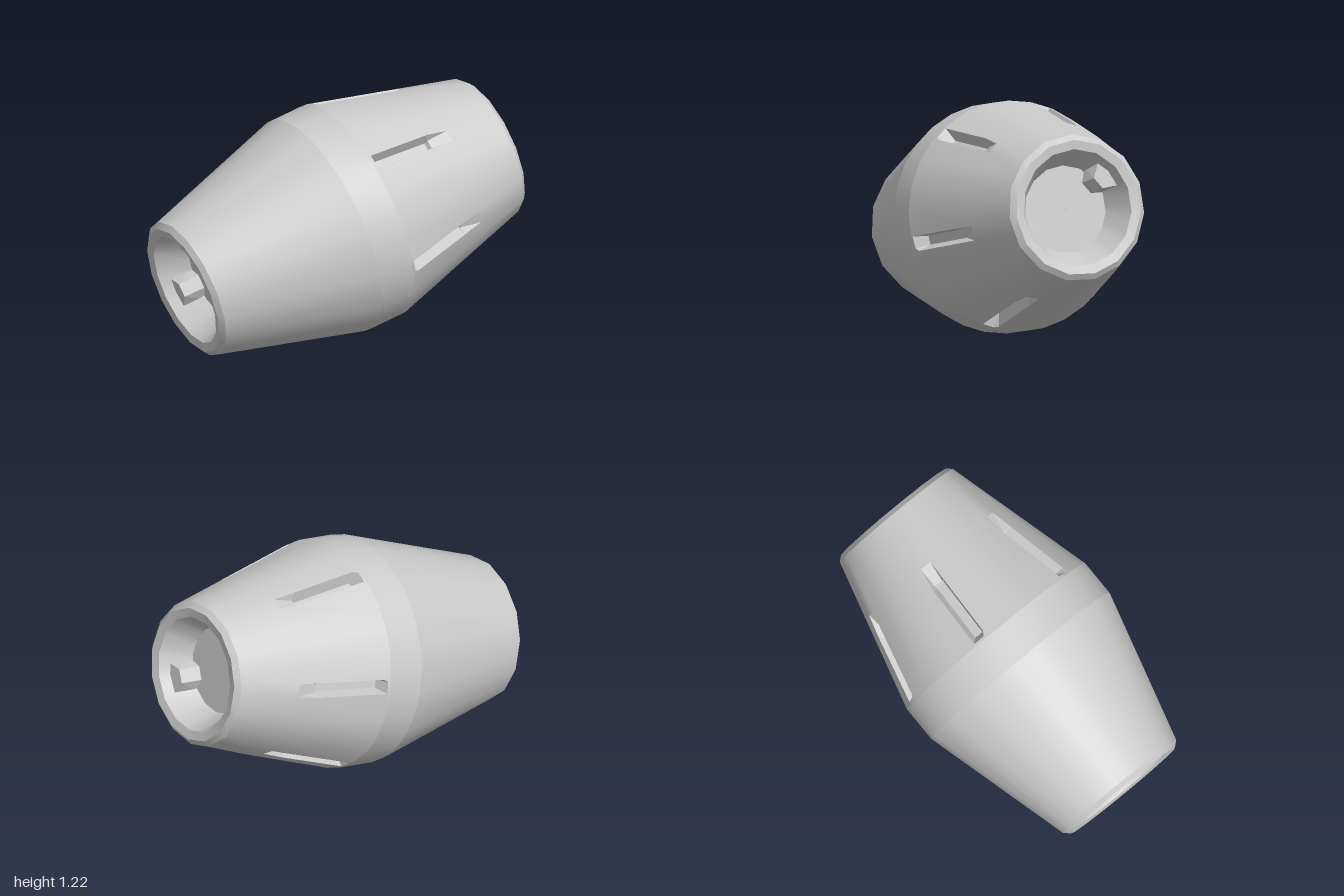
import * as THREE from 'three';
import { ConvexGeometry } from 'three/addons/geometries/ConvexGeometry.js';

const DEG = Math.PI / 180;
const SLOT_ANGLE = 50;      // direction of the first of six slots
const SLOT_HALF = 0.04;     // half the slot width
const SLOT_FRONT = -0.115, SLOT_BACK = -0.6;

// Radius of the rear cone at axial position z
const coneRadius = z => THREE.MathUtils.mapLinear(z, -0.1, -0.92, 0.605, 0.385);

// One ring of 30 points; even rings are regular, coarse ones have 15 sides,
// slotted ones have two points moved to the slot edges in each sixth.
function ring(z, r, { coarse = false, slotted = false } = {}) {
  const h = slotted ? Math.asin(SLOT_HALF / r) / DEG : 6;
  const points = [];
  for (let k = 0; k < 6; k++) {
    for (const local of [-h, h, 18, 30, 42]) {
      const a = (SLOT_ANGLE + 60 * k + local) * DEG;
      const rad = coarse && points.length % 2 ? r * Math.cos(12 * DEG) : r;
      points.push(new THREE.Vector3(rad * Math.cos(a), rad * Math.sin(a), z));
    }
  }
  return points;
}

// Surface between consecutive rows of points
function loft(rows, closed, skip = () => false) {
  const n = rows[0].length, index = [];
  for (let i = 0; i < rows.length - 1; i++) {
    for (let j = 0; j < (closed ? n : n - 1); j++) {
      if (skip(i, j)) continue;
      const k = (j + 1) % n;
      const a = i * n + j, b = i * n + k, c = a + n, d = b + n;
      index.push(a, c, b, b, c, d);
    }
  }
  const geo = new THREE.BufferGeometry().setFromPoints(rows.flat());
  geo.setIndex(index);
  geo.computeVertexNormals();
  return geo;
}

export function createModel() {
  const smooth = new THREE.MeshStandardMaterial({ color: 0xcccccc });
  const flat = new THREE.MeshStandardMaterial({ color: 0xcccccc, flatShading: true });
  const thin = new THREE.MeshStandardMaterial({ color: 0xcccccc, flatShading: true, side: THREE.DoubleSide });

  const capsule = new THREE.Group();
  capsule.name = 'capsule';
  const add = (parent, name, geo, mat) => {
    const mesh = new THREE.Mesh(geo, mat);
    mesh.name = name;
    parent.add(mesh);
    return mesh;
  };

  // Recessed end: socket floor, tapered bore, lip and outer chamfer
  const endProfile = [[0.77, 0.001], [0.77, 0.23], [0.935, 0.307], [0.945, 0.355], [0.92, 0.385]];
  const endNames = ['socketFloor', 'socketWall', 'endLip', 'endChamfer'];

  function makeEnd(name) {
    const end = new THREE.Group();
    end.name = name;
    endNames.forEach((part, i) => {
      const rows = [endProfile[i], endProfile[i + 1]].map(([z, r]) => ring(z, r, { coarse: true }));
      add(end, part, loft(rows, true), smooth);
    });
    // Two opposed locking lugs, wedge-shaped blocks on the bore wall
    for (const angle of [212, 38]) {
      const points = [];
      for (const [z, outer, inner] of [[0.88, 0.285, 0.195], [0.765, 0.235, 0.165]]) {
        for (const s of [-1, 1]) {
          points.push(new THREE.Vector3(outer, s * 0.09, z), new THREE.Vector3(inner, s * 0.036, z));
        }
      }
      add(end, 'lockingLug', new ConvexGeometry(points), flat).rotation.z = angle * DEG;
    }
    capsule.add(end);
    return end;
  }
  makeEnd('frontEnd');
  const back = makeEnd('backEnd');
  back.rotation.y = Math.PI;
  // Align the 15 sides of the back rim with the rear cone, leaving the lugs alone
  back.children.filter(m => m.name !== 'lockingLug').forEach(m => {
    m.rotation.z = (180 - 2 * (SLOT_ANGLE - 6)) * DEG;
  });

  // Shell: front cone, central band, slotted rear cone
  add(capsule, 'frontCone', loft([ring(0.92, 0.385, { coarse: true }), ring(0.1, 0.605)], true), smooth);
  add(capsule, 'centreBand', loft([ring(0.1, 0.605), ring(-0.1, 0.605)], true), smooth);
  const rearRows = [
    ring(-0.1, 0.605),
    ring(SLOT_FRONT, coneRadius(SLOT_FRONT), { slotted: true }),
    ring(SLOT_BACK, coneRadius(SLOT_BACK), { slotted: true }),
    ring(-0.92, 0.385, { coarse: true }),
  ];
  add(capsule, 'rearCone', loft(rearRows, true, (i, j) => i === 1 && j % 5 === 0), smooth);

  // Slot pockets: sloped walls, stepped floor, ramp at the back
  const sections = [[SLOT_FRONT, 0], [-0.14, 0.07], [-0.47, 0.07], [-0.485, 0.045], [SLOT_BACK, 0]];
  const pocketRows = sections.map(([z, depth]) => {
    const top = Math.sqrt(coneRadius(z) ** 2 - SLOT_HALF ** 2);
    return [[0, -SLOT_HALF], [depth, -0.024], [depth, 0.024], [0, SLOT_HALF]]
      .map(([d, y]) => new THREE.Vector3(top - d, y, z));
  });
  const pocket = loft(pocketRows, false);
  for (let k = 0; k < 6; k++) {
    add(capsule, 'slotPocket', pocket, thin).rotation.z = (SLOT_ANGLE + 60 * k) * DEG;
  }

  // Tilted resting pose
  capsule.rotation.set(0.222, -0.113, 0, 'YXZ');
  capsule.position.y = 0.612;

  const model = new THREE.Group();
  model.name = 'model';
  model.add(capsule);
  return model;
}
